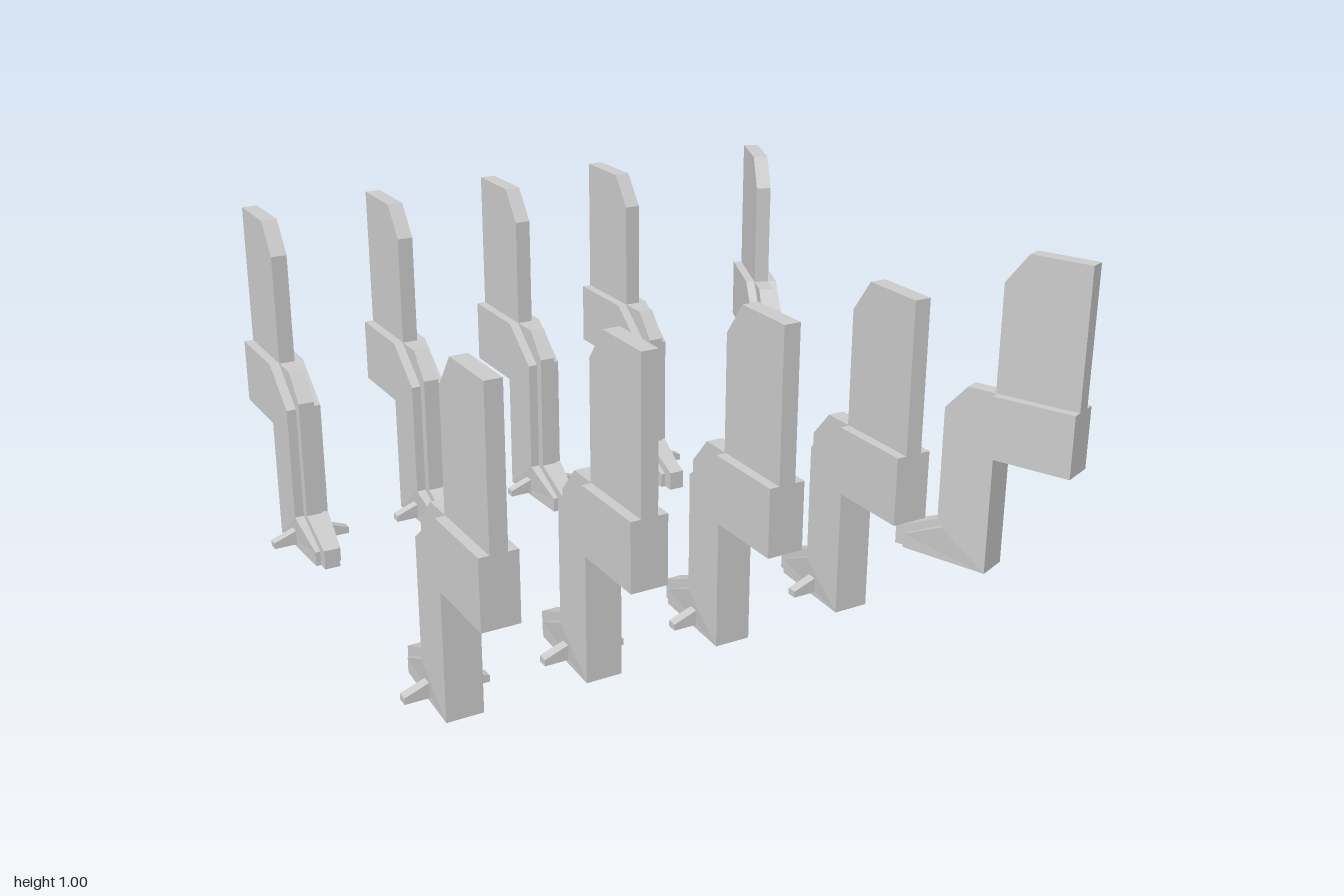
import * as THREE from 'three';

const material = new THREE.MeshStandardMaterial({ color: 0xcccccc, flatShading: true, side: THREE.DoubleSide });
const HALF = 0.0525, RIDGE = 0.024;

// Profiles as [z, y], from the toe up, over the top and down the heel; open underneath.
const heel = [[0.89, 0.565], [0.89, 0.37], [0.65, 0.37], [0.65, 0]];
const body = [[0.365, 0], [0.365, 0.045], [0.5, 0.11], [0.5, 0.46], [0.635, 0.565], ...heel];
const ridge = [[0.33, 0], [0.33, 0.06], [0.47, 0.12], [0.47, 0.485], [0.54, 0.565], ...heel];

// The body narrows towards the toe
const halfWidth = z => HALF - Math.max(0, 0.5 - z) * 0.1;

// Stepped shell: side walls, outer strips and a raised central ridge
function legGeometry() {
  const pos = [];
  const tri = (a, b, c) => pos.push(...a, ...b, ...c);
  const row = (profile, x) => profile.map(([z, y]) => [x(z), y, z]);
  const rows = [
    row(body, z => -halfWidth(z)), row(body, () => -RIDGE),
    row(ridge, () => -RIDGE), row(ridge, () => RIDGE),
    row(body, () => RIDGE), row(body, halfWidth),
  ];
  const same = (p, q) => p.every((v, k) => v === q[k]);
  for (let i = 0; i < rows.length - 1; i++) {
    for (let j = 0; j < body.length - 1; j++) {
      const a = rows[i][j], b = rows[i][j + 1], c = rows[i + 1][j + 1], d = rows[i + 1][j];
      if (!same(b, c)) tri(a, b, c);
      if (!same(a, d)) tri(a, c, d);
    }
  }
  const outline = body.map(p => new THREE.Vector2(...p));
  for (const f of THREE.ShapeUtils.triangulateShape(outline, [])) {
    const ccw = THREE.ShapeUtils.area(f.map(k => outline[k])) > 0;
    const [a, b, c] = ccw ? f : [f[0], f[2], f[1]];
    tri(rows[0][a], rows[0][b], rows[0][c]);
    tri(rows[5][a], rows[5][c], rows[5][b]);
  }
  const g = new THREE.BufferGeometry();
  g.setAttribute('position', new THREE.Float32BufferAttribute(pos, 3));
  g.computeVertexNormals();
  return g;
}

function extrude(points, depth) {
  const shape = new THREE.Shape(points.map(p => new THREE.Vector2(...p)));
  return new THREE.ExtrudeGeometry(shape, { depth, bevelEnabled: false });
}

// Upright plate with a cut inner corner
const plateGeometry = extrude(
  [[-0.89, 0.565], [-0.63, 0.565], [-0.63, 0.9], [-0.7, 0.995], [-0.89, 0.995]], RIDGE * 2)
  .translate(0, 0, -RIDGE).rotateY(Math.PI / 2);

// Small wedge-shaped side stabilisers
const finGeometries = [-1, 1].map(s => extrude(
  [[0.05, 0.015], [0.12, 0.015], [0.12, 0.034], [0.05, 0.06]].map(([x, y]) => [x * s, y]), 0.03)
  .translate(0, 0, 0.51));

const shellGeometry = legGeometry();

function makeSupport(hasFins) {
  const group = new THREE.Group();
  const add = (geometry, name) => {
    const mesh = new THREE.Mesh(geometry, material);
    mesh.name = name;
    group.add(mesh);
  };
  add(shellGeometry, 'steppedLeg');
  add(plateGeometry, 'uprightPlate');
  if (hasFins) finGeometries.forEach((g, i) => add(g, i ? 'leftFin' : 'rightFin'));
  return group;
}

export function createModel() {
  const model = new THREE.Group();
  model.name = 'supportRows';
  const splay = Math.PI / 8;
  for (const side of [1, -1]) {
    const label = side > 0 ? 'front' : 'back';
    // Four straight supports in each row
    for (let i = 0; i < 4; i++) {
      const support = makeSupport(true);
      support.name = `${label}Support${i + 1}`;
      support.position.x = -0.876 + i * 0.402;
      support.rotation.y = side > 0 ? 0 : Math.PI;
      model.add(support);
    }
    // Splayed support without fins at the end of the row
    const end = makeSupport(false);
    end.name = `${label}EndSupport`;
    end.position.set(0.607, 0, side * 0.048);
    end.rotation.y = side > 0 ? splay : Math.PI - splay;
    model.add(end);
  }
  return model;
}
